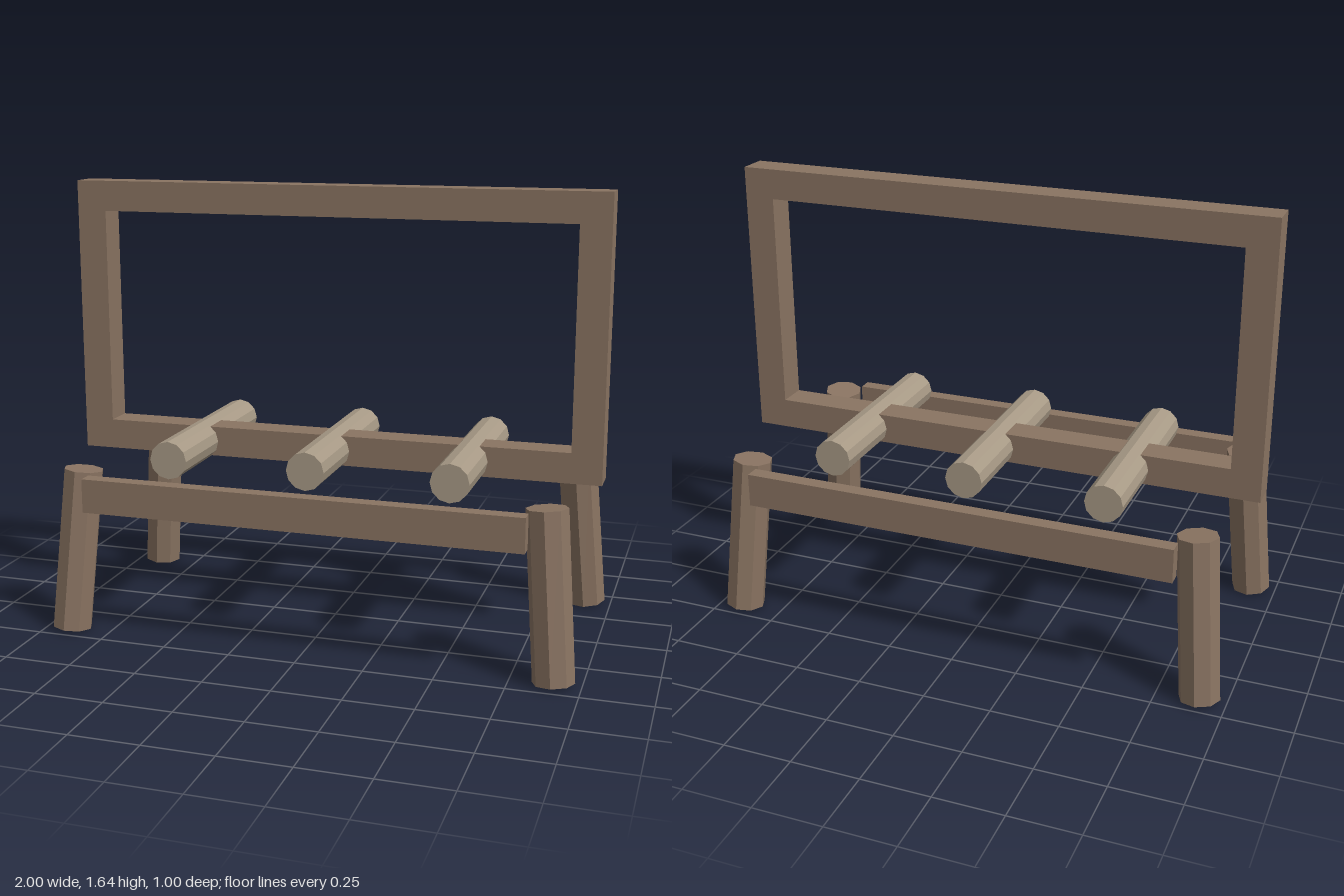
import * as THREE from 'three';

const wood = new THREE.MeshStandardMaterial({ color: 0x8a7462, flatShading: true });
const paleWood = new THREE.MeshStandardMaterial({ color: 0xa89a86, flatShading: true });

// Rectangle outline centred on the origin
function rect(path, w, h) {
  return path.moveTo(-w / 2, -h / 2).lineTo(w / 2, -h / 2)
    .lineTo(w / 2, h / 2).lineTo(-w / 2, h / 2).closePath();
}

export function createModel() {
  const group = new THREE.Group();
  const add = (name, geometry, material, x, y, z) => {
    const mesh = new THREE.Mesh(geometry, material);
    mesh.name = name;
    mesh.position.set(x, y, z);
    group.add(mesh);
    return mesh;
  };

  // Upright rectangular frame
  const depth = 0.112;
  const outline = rect(new THREE.Shape(), 2, 1.03);
  outline.holes.push(rect(new THREE.Path(), 1.776, 0.806));
  const frame = new THREE.ExtrudeGeometry(outline, { depth, bevelEnabled: false });
  frame.translate(0, 0, -depth / 2);
  add('uprightFrame', frame, wood, 0, 1.125, 0);

  // Three round rungs lying across the bottom of the frame
  const rung = new THREE.CylinderGeometry(0.07, 0.07, 0.742, 12).rotateX(Math.PI / 2);
  for (const x of [-0.52, 0, 0.52]) add('crossRung', rung, paleWood, x, 0.665, 0);

  // Long rails front and back, and four splayed octagonal legs
  const rail = new THREE.BoxGeometry(1.61, 0.125, 0.055);
  const leg = new THREE.CylinderGeometry(0.074, 0.074, 0.605, 8);
  const splay = 0.079;
  for (const sz of [1, -1]) {
    const end = sz > 0 ? 'front' : 'back';
    add(end + 'Rail', rail, wood, 0, 0.543, sz * 0.47);
    for (const sx of [1, -1]) {
      const name = end + (sx > 0 ? 'Left' : 'Right') + 'Leg';
      add(name, leg, wood, sx * 0.88, 0.309, sz * 0.398)
        .rotation.set(-sz * splay, 0, sx * splay);
    }
  }
  return group;
}
